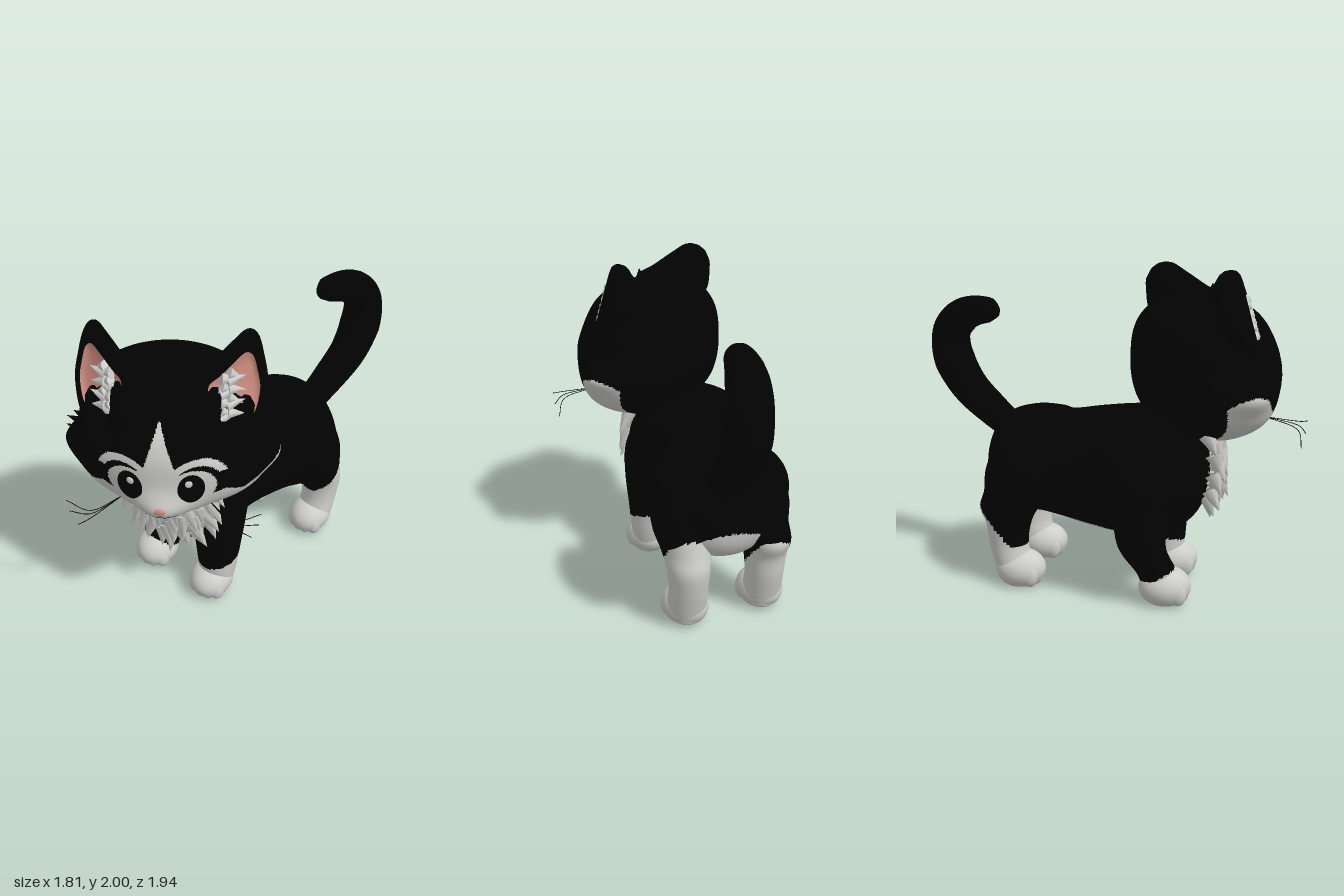
import * as THREE from 'three';
import { mergeGeometries } from 'three/addons/utils/BufferGeometryUtils.js';

const V = (x, y, z) => new THREE.Vector3(x, y, z);
const mat = (name, color) => Object.assign(new THREE.MeshStandardMaterial({ color }), { name });

// Skin a list of closed rings of points
function skin(rings) {
  const n = rings[0].length, index = [];
  for (let i = 0; i < rings.length - 1; i++)
    for (let j = 0; j < n; j++) {
      const a = i * n + j, b = a + n, c = i * n + (j + 1) % n, d = c + n;
      index.push(a, b, c, b, d, c);
    }
  const g = new THREE.BufferGeometry().setFromPoints(rings.flat());
  g.setIndex(index);
  g.computeVertexNormals();
  return g;
}

// Upright limb from sections [y, x, z, radiusX, radiusZ]
function limb(sections, steps = 40, n = 40) {
  const mid = new THREE.CatmullRomCurve3(sections.map(s => V(s[1], s[0], s[2])), false, 'catmullrom');
  const rad = new THREE.CatmullRomCurve3(sections.map(s => V(s[3], 0, s[4])), false, 'catmullrom');
  const rings = [];
  for (let i = 0; i <= steps; i++) {
    const c = mid.getPoint(i / steps), r = rad.getPoint(i / steps);
    rings.push(Array.from({ length: n }, (_, j) => {
      const a = j / n * Math.PI * 2;
      return V(c.x + Math.cos(a) * Math.max(r.x, 0.001), c.y, c.z + Math.sin(a) * Math.max(r.z, 0.001));
    }));
  }
  return skin(rings);
}

// Sort triangles into material groups; pick(centre, triangle) returns 0, 1 or -1 to drop
function paint(g, pick) {
  const p = g.attributes.position, ix = g.index.array, lists = [[], []], c = V(0, 0, 0), q = V(0, 0, 0);
  for (let t = 0; t < ix.length; t += 3) {
    c.set(0, 0, 0);
    for (let k = 0; k < 3; k++) c.add(q.fromBufferAttribute(p, ix[t + k]));
    const m = pick(c.divideScalar(3), t / 3);
    if (m >= 0) lists[m].push(ix[t], ix[t + 1], ix[t + 2]);
  }
  g.setIndex(lists.flat());
  g.addGroup(0, lists[0].length, 0);
  g.addGroup(lists[0].length, lists[1].length, 1);
  return g;
}

function spike(pos, dir, len, w) {
  const g = new THREE.ConeGeometry(w, len, 8).translate(0, len / 2, 0);
  g.applyQuaternion(new THREE.Quaternion().setFromUnitVectors(V(0, 1, 0), dir.clone().normalize()));
  return g.translate(pos.x, pos.y, pos.z);
}

const lerpTable = (table, u) => {
  for (let i = 1; i < table.length; i++)
    if (u <= table[i][0]) {
      const [a, b] = [table[i - 1], table[i]];
      return a[1] + (b[1] - a[1]) * (u - a[0]) / (b[0] - a[0]);
    }
  return table[table.length - 1][1];
};

export function createModel() {
  const black = mat('black fur', 0x020203), white = mat('white fur', 0xcdcdcb);
  const pink = mat('pink skin', 0xc8877b), both = [black, white];
  const root = new THREE.Group();
  root.name = 'kitten';
  const add = (parent, name, g, m) => {
    const mesh = new THREE.Mesh(g, m);
    mesh.name = name;
    parent.add(mesh);
    return mesh;
  };

  // Body, turned away from the direction of the face
  const body = new THREE.Group();
  body.name = 'body';
  body.position.set(0.02, 0, -0.1);
  body.rotation.y = -0.75;
  root.add(body);
  const rearWhite = (c, drop = 0) => c.z < -0.36 && c.y < 0.33 - drop + (-c.z - 0.42) * 1.1;
  const torso = limb([
    [-0.715, 0, -0.75, 0.01, 0.01], [-0.68, 0, -0.75, 0.18, 0.2], [-0.59, 0, -0.755, 0.33, 0.31],
    [-0.45, 0, -0.775, 0.425, 0.335], [-0.31, 0.01, -0.775, 0.43, 0.335], [-0.18, -0.01, -0.76, 0.365, 0.345],
    [0.05, -0.04, -0.765, 0.35, 0.385], [0.28, -0.055, -0.78, 0.415, 0.4], [0.45, -0.045, -0.78, 0.405, 0.39],
    [0.57, -0.01, -0.78, 0.32, 0.34], [0.67, 0, -0.78, 0.2, 0.22], [0.72, 0, -0.78, 0.01, 0.01]],
    100, 90).rotateX(Math.PI / 2);
  add(body, 'torso', paint(torso, c =>
    rearWhite(c) || (c.y < 0.45 - 0.12 * c.z && c.z > -0.6 && c.z < 0.2 && Math.abs(c.x) < 0.24) ? 1 : 0), both);

  // Paw with flattened sole and soft toes
  function paw(name, x, z, yaw) {
    const parts = [new THREE.SphereGeometry(1, 28, 20).scale(0.138, 0.125, 0.16).translate(0, 0.105, 0)];
    for (const i of [-1.5, -0.5, 0.5, 1.5])
      parts.push(new THREE.SphereGeometry(1, 16, 12).scale(0.048, 0.08, 0.055)
        .translate(i * 0.05, 0.085, 0.104 - Math.abs(i) * 0.022));
    const g = mergeGeometries(parts), p = g.attributes.position;
    for (let i = 0; i < p.count; i++) p.setY(i, Math.max(p.getY(i), 0));
    add(body, name, g.rotateY(yaw).translate(x, 0, z), white);
  }
  // lean moves the upper part of the leg back and outward
  for (const [side, x, z, top, slope, lean] of [
    ['left', 0.243, 0.4, 0.28, -0.3, 0], ['right', -0.22, 0.49, 0.17, 0.6, 0.07]]) {
    const ux = x - lean * 0.8, uz = z - lean;
    const leg = limb([[0.04, x, z, 0.1, 0.1], [0.18, x, z - 0.02, 0.122, 0.122], [0.36, ux, uz - 0.03, 0.138, 0.145],
      [0.6, ux, uz - 0.04, 0.16, 0.175], [0.8, ux, uz - 0.06, 0.155, 0.18], [0.95, ux, uz - 0.07, 0.09, 0.11],
      [1, ux, uz - 0.07, 0.01, 0.01]], 60);
    add(body, side + 'FrontLeg', paint(leg, c => c.y < top + (c.z - z) * slope ? 1 : 0), both);
    paw(side + 'FrontPaw', x, z + 0.03, 0.4);
  }
  for (const [side, x, z, drop] of [['left', 0.23, -0.02, 0], ['right', -0.265, 0.045, 0.08]]) {
    const thigh = Math.sign(x) * 0.24;
    const leg = limb([[0.04, x, z - 0.51, 0.1, 0.1], [0.14, x, z - 0.52, 0.118, 0.12],
      [0.27, x, z - 0.55, 0.118, 0.125], [0.4, x, z - 0.55, 0.13, 0.145], [0.5, x, -0.5, 0.15, 0.19],
      [0.6, thigh, -0.45, 0.17, 0.22], [0.75, thigh, -0.42, 0.175, 0.23], [0.92, thigh, -0.42, 0.11, 0.15],
      [0.97, thigh, -0.42, 0.01, 0.01]], 60);
    add(body, side + 'HindLeg', paint(leg, c => rearWhite(c, drop) || c.y < 0.27 ? 1 : 0), both);
    paw(side + 'HindPaw', x, z - 0.47, 0.25);
  }

  // Curled tail, tapered along its path
  const path = new THREE.CatmullRomCurve3([V(0.46, 0.92, -0.5), V(0.58, 1.04, -0.62), V(0.71, 1.2, -0.75),
    V(0.775, 1.4, -0.83), V(0.765, 1.56, -0.83), V(0.68, 1.665, -0.76), V(0.56, 1.7, -0.66), V(0.475, 1.685, -0.59)]);
  const tail = new THREE.TubeGeometry(path, 70, 1, 28), tp = tail.attributes.position;
  for (let i = 0, q = V(0, 0, 0); i < tp.count; i++) {
    const t = Math.floor(i / 29) / 70, c = path.getPointAt(t);
    const r = lerpTable([[0, 0.09], [0.2, 0.11], [0.5, 0.133], [0.75, 0.115], [1, 0.07]], t);
    q.fromBufferAttribute(tp, i).sub(c).multiplyScalar(r * Math.sqrt(Math.min(1, (1.0001 - t) / 0.06))).add(c);
    tp.setXYZ(i, q.x, q.y, q.z);
  }
  tail.computeVertexNormals();
  add(root, 'tail', tail, black);

  // Chest bib: a curved patch covered with rows of tufts
  const bibWidth = y => 0.275 * Math.min(1, Math.max(0, (y - 0.48) / 0.27)) ** 0.8;
  const patch = new THREE.SphereGeometry(1, 90, 70).scale(0.43, 0.46, 0.455).translate(-0.26, 0.87, 0.14);
  add(root, 'bib', paint(patch, c => c.z > 0.2 && c.y < 1.1 && c.y > 0.54
    && Math.abs(c.x + 0.33) < bibWidth(c.y) ? 1 : -1), both);
  const tufts = [];
  for (let row = 0; row < 8; row++) {
    const y = 1.04 - row * 0.06, n = row < 5 ? 8 : 5;
    for (let i = 0; i < n; i++) {
      const k = (i + (row % 2 ? 0.7 : 0.3)) / n * 2 - 1, x = -0.33 + bibWidth(y) * k;
      const s = 1 - ((x + 0.26) / 0.43) ** 2 - ((y - 0.87) / 0.46) ** 2;
      const z = 0.115 + 0.44 * Math.sqrt(Math.max(s, 0.02));
      tufts.push(spike(V(x, y, z), V(k * 0.55 + 0.15 * ((i + row) % 3 - 1), -1, 0.2),
        0.13 + 0.03 * ((i * 7 + row * 3) % 3), 0.055));
    }
  }
  add(root, 'bibTufts', mergeGeometries(tufts), white);

  // Head: a sphere widened at the cheeks, pushed out at the muzzle and hollowed before the ears
  const head = new THREE.Group();
  head.name = 'head';
  head.position.set(-0.29, 1.42, 0.48);
  root.add(head);
  const skull = new THREE.SphereGeometry(1, 200, 140).rotateX(Math.PI / 2), hp = skull.attributes.position;
  const bell = (v, w) => Math.exp(-((v / w) ** 2));
  for (let i = 0; i < hp.count; i++) {
    const nx = hp.getX(i), ny = hp.getY(i), nz = hp.getZ(i);
    const full = 1 + (ny > 0 ? 0.44 * ny * ny * (1 - ny * ny) * Math.min(1, Math.max(0, 0.5 - nz * 2)) : 0);
    const y = ny * (ny > 0 ? 0.42 : 0.47) * full;
    let x = nx * 0.52 * full * (1 + 0.25 * bell(y + 0.34, 0.16)), z = nz * 0.44 * full;
    x += 0.105 * nx ** 3 * bell(y + 0.13, 0.1) * bell(z - 0.02, 0.22);
    if (nz > 0) z += nz * (0.15 * bell(x, 0.19) * bell(y + 0.3, 0.13)
      - 0.26 * bell(Math.abs(x) - 0.38, 0.12) * bell(y - 0.23, 0.12));
    hp.setXYZ(i, x, y, z);
  }
  skull.computeVertexNormals();
  const cheek = [[0, -0.14], [0.2, -0.2], [0.34, -0.17], [0.43, -0.235], [0.5, -0.2], [0.62, -0.1]];
  paint(skull, c => {
    const u = Math.abs(c.x), y = c.y;
    if (c.z > -0.18 - y * 0.25 && y < lerpTable(cheek, u)) return 1;
    if (c.z < 0.05) return 0;
    const blaze = y < 0 ? u < 0.1 : u < (0.28 - y) * 0.33;
    const eye = ((u - 0.175) / 0.122) ** 2 + ((y + 0.11) / 0.122) ** 2 < 1;
    const b = ((u - 0.2) / 0.165) ** 2 + ((y + 0.095) / 0.172) ** 2;
    return blaze || eye || (b < 1 && b > 0.58 && y > -0.03) ? 1 : 0;
  });
  const skullMesh = new THREE.Mesh(skull, both);
  skullMesh.name = 'skull';
  head.add(skullMesh);
  const hit = (x, y) => new THREE.Raycaster(V(x, y, 2), V(0, 0, -1)).intersectObject(skullMesh)[0];
  const onFace = (x, y, lift) => hit(x, y).point.add(V(0, 0, lift));
  function button(name, x, y, size, lift, m) {
    const h = hit(x, y), mesh = add(head, name, new THREE.SphereGeometry(1, 28, 20).scale(...size), m);
    mesh.quaternion.setFromUnitVectors(V(0, 0, 1), h.face.normal);
    mesh.position.copy(h.point).addScaledVector(h.face.normal, lift);
  }
  button('nose', 0, -0.235, [0.03, 0.019, 0.012], 0, pink);

  // Ear outline and its cupped profile [scale, depth]
  const rim = new THREE.CatmullRomCurve3([[0.3, 0.12], [0.47, 0.06], [0.53, 0.25], [0.505, 0.42], [0.46, 0.555],
    [0.41, 0.585], [0.33, 0.535], [0.22, 0.45], [0.14, 0.4], [0.14, 0.3]].map(p => V(p[0], p[1], 0)), true);
  const cup = [[0, -0.02], [0.35, -0.018], [0.6, -0.005], [0.66, 0.02], [0.78, 0.035], [0.9, 0.03],
    [0.98, 0.01], [1, -0.02], [0.98, -0.06], [0.9, -0.1], [0.7, -0.15], [0.4, -0.18], [0, -0.19]];
  for (const s of [1, -1]) {
    const side = s > 0 ? 'left' : 'right';
    const earZ = (x, y) => 0.125 - (x - 0.3) * 0.6 - (y - 0.25) * 0.33;
    const rings = cup.map(([t, d]) => {
      const ring = rim.getPoints(48).slice(0, 48).map(p => {
        const x = 0.42 + (p.x - 0.42) * t, y = 0.33 + (p.y - 0.33) * t;
        return V(s * x, y, earZ(x, y) + d);
      });
      return s > 0 ? ring : ring.reverse();
    });
    add(head, side + 'Ear', paint(skin(rings), (c, t) => t < 48 * 2 * 3 ? 1 : 0), [black, pink]);
    const fluff = [];
    for (let i = 0; i < 12; i++) {
      const x = 0.29 + 0.035 * (i % 2), y = 0.18 + i * 0.021;
      fluff.push(spike(V(s * x, y, earZ(x, y) + 0.012), V(s, 0.2 - (i % 3) * 0.45, -0.45), 0.11, 0.036));
    }
    add(head, side + 'EarTuft', mergeGeometries(fluff), white);

    // Eye, glint, mouth line and whiskers
    button(side + 'Eye', s * 0.165, -0.11, [0.075, 0.098, 0.016], 0.002, black);
    button(side + 'EyeGlint', s * 0.152, -0.06, [0.021, 0.023, 0.008], 0.018, white);
    const mouth = [[0, -0.265], [0.012, -0.29], [0.045, -0.31], [0.09, -0.295]].map(p => onFace(s * p[0], p[1], 0));
    add(head, side + 'Mouth', new THREE.TubeGeometry(new THREE.CatmullRomCurve3(mouth), 16, 0.0025, 6), black);
    for (const [ex, ey] of [[0.54, -0.28], [0.53, -0.36], [0.49, -0.46]]) {
      const line = new THREE.CatmullRomCurve3([onFace(s * 0.25, -0.31, -0.01),
        V(s * 0.4, -0.34 + (ey + 0.36) * 0.3, 0.42), V(s * ex, ey, 0.39)]);
      add(head, side + 'Whisker', new THREE.TubeGeometry(line, 16, 0.0022, 5), black);
    }
    const ruff = [[0.56, 0.05], [0.6, 0.01], [0.61, -0.05]].map(([x, y]) =>
      spike(V(s * 0.44, y - 0.04, 0.03), V(s * (x - 0.44), 0.04, -0.03), x - 0.43, 0.05));
    add(head, side + 'CheekTuft', mergeGeometries(ruff), black);
  }
  const crown = [[-0.09, 0.09], [-0.03, 0.11], [0.02, 0.13], [0.1, 0.1]].map(([x, len]) =>
    spike(V(x, 0.35, 0.04), V(x * 0.5, 1, 0.1), len, 0.06));
  add(head, 'crownTuft', mergeGeometries(crown), black);
  return root;
}
